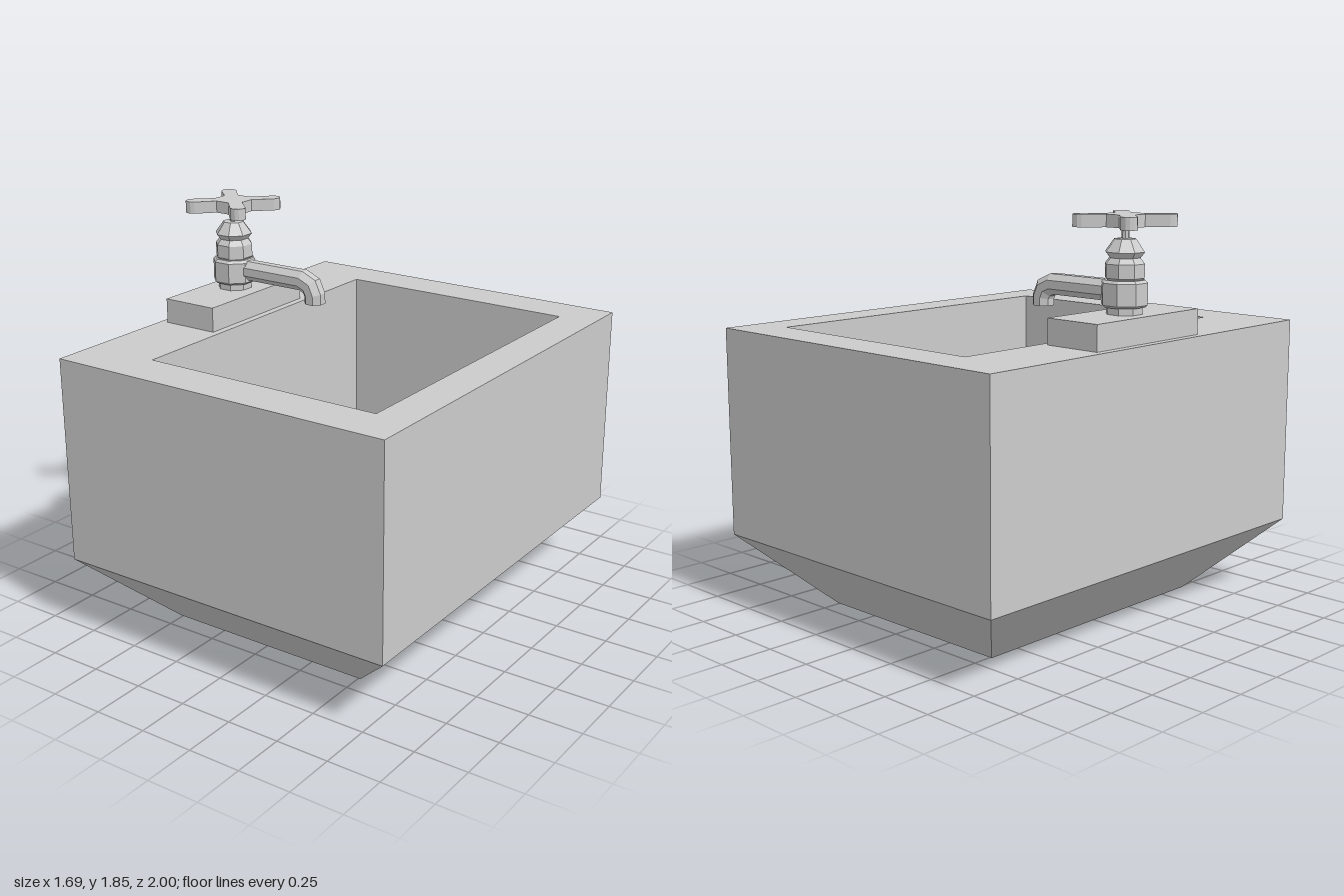
import * as THREE from 'three';

const material = new THREE.MeshStandardMaterial({ color: 0xcccccc, flatShading: true, side: THREE.DoubleSide });

function add(parent, name, geometry, x = 0, y = 0, z = 0) {
  const mesh = new THREE.Mesh(geometry, material);
  mesh.name = name;
  mesh.position.set(x, y, z);
  parent.add(mesh);
  return mesh;
}

// Skin a series of equal-sized rings with flat quads and cap both ends.
function loft(rings) {
  const pos = [];
  const tri = (...pts) => pts.forEach((p) => pos.push(...p));
  const n = rings[0].length;
  for (let i = 0; i < rings.length - 1; i++) {
    for (let j = 0; j < n; j++) {
      const k = (j + 1) % n;
      const [a, b, c, d] = [rings[i][j], rings[i][k], rings[i + 1][k], rings[i + 1][j]];
      tri(a, b, c);
      tri(a, c, d);
    }
  }
  const first = rings[0], last = rings[rings.length - 1];
  for (let j = 1; j < n - 1; j++) {
    tri(first[0], first[j + 1], first[j]);
    tri(last[0], last[j], last[j + 1]);
  }
  const geometry = new THREE.BufferGeometry();
  geometry.setAttribute('position', new THREE.Float32BufferAttribute(pos, 3));
  geometry.computeVertexNormals();
  return geometry;
}

const rect = (x0, x1, z0, z1, y) => [[x1, y, z1], [x1, y, z0], [x0, y, z0], [x0, y, z1]];

// Eight-sided turned part with flats facing front and sides; r is the half width.
function turned(profile) {
  const pts = profile.map(([r, y]) => new THREE.Vector2(r / Math.cos(Math.PI / 8), y));
  return new THREE.LatheGeometry(pts, 8, Math.PI / 8);
}

// Eight-sided pipe along a path in the xy plane, mitred at each bend.
function pipe(path, r) {
  const dir = (i) => Math.atan2(path[i + 1][1] - path[i][1], path[i + 1][0] - path[i][0]);
  const radius = r / Math.cos(Math.PI / 8);
  return loft(path.map(([x, y], i) => {
    const before = dir(Math.max(i - 1, 0));
    const after = dir(Math.min(i, path.length - 2));
    const t = (before + after) / 2;
    const stretch = 1 / Math.cos((after - before) / 2);
    return Array.from({ length: 8 }, (_, j) => {
      const a = (j + 0.5) * Math.PI / 4;
      const u = Math.cos(a) * radius * stretch;
      return [x - Math.sin(t) * u, y + Math.cos(t) * u, Math.sin(a) * radius];
    });
  }));
}

// Four rounded diagonal arms around a small hub.
function crossHandle(height) {
  const shape = new THREE.Shape();
  const tip = 0.187, r = 0.036;
  for (let k = 0; k < 4; k++) {
    const a = Math.PI / 4 + k * Math.PI / 2;
    const at = (along, across) => [
      Math.cos(a) * along - Math.sin(a) * across,
      Math.sin(a) * along + Math.cos(a) * across,
    ];
    if (k === 0) shape.moveTo(...at(0.082, -0.032));
    else shape.lineTo(...at(0.082, -0.032));
    for (let s = 0; s <= 6; s++) {
      const b = -Math.PI / 2 + s * Math.PI / 6;
      shape.lineTo(...at(tip + Math.cos(b) * r, Math.sin(b) * r));
    }
    shape.lineTo(...at(0.082, 0.032));
  }
  const geometry = new THREE.ExtrudeGeometry(shape, { depth: height, bevelEnabled: false });
  return geometry.rotateX(-Math.PI / 2);
}

export function createModel() {
  const model = new THREE.Group();
  model.name = 'sink';

  // Basin: tapered foot, straight sides, rim, then the hollow with its sloped floor edge
  add(model, 'basin', loft([
    rect(-0.51, 0.51, -0.66, 0.66, 0),
    rect(-0.845, 0.845, -1, 1, 0.34),
    rect(-0.845, 0.845, -1, 1, 1.31),
    rect(-0.5, 0.665, -0.795, 0.785, 1.31),
    rect(-0.5, 0.665, -0.795, 0.785, 0.34),
    rect(-0.38, 0.547, -0.675, 0.665, 0.22),
  ]));

  // Raised ledge under the tap
  add(model, 'tapLedge', new THREE.BoxGeometry(0.275, 0.115, 0.675), -0.672, 1.3675, -0.01);

  const tap = new THREE.Group();
  tap.name = 'tap';
  tap.position.set(-0.678, 0, -0.02);
  model.add(tap);

  // Foot and collar
  add(tap, 'tapFoot', turned([[0.075, 1.42], [0.075, 1.47]]));
  add(tap, 'tapCollar', turned([
    [0, 1.455], [0.085, 1.455], [0.096, 1.465], [0.096, 1.56], [0.085, 1.572], [0, 1.572],
  ]));

  // Waisted valve body
  add(tap, 'valveBody', turned([
    [0.07, 1.565], [0.082, 1.58], [0.082, 1.64], [0.064, 1.665],
    [0.082, 1.69], [0.045, 1.745], [0, 1.747],
  ]));

  // Stem and cross handle
  add(tap, 'stem', new THREE.CylinderGeometry(0.017, 0.017, 0.07, 8), 0, 1.77, 0);
  add(tap, 'crossHandle', crossHandle(0.055), 0, 1.795, -0.003);

  // Spout bending down over the basin
  add(tap, 'spout', pipe([
    [0.04, 1.52], [0.405, 1.52], [0.452, 1.499], [0.47, 1.46], [0.47, 1.42],
  ], 0.046));

  return model;
}
